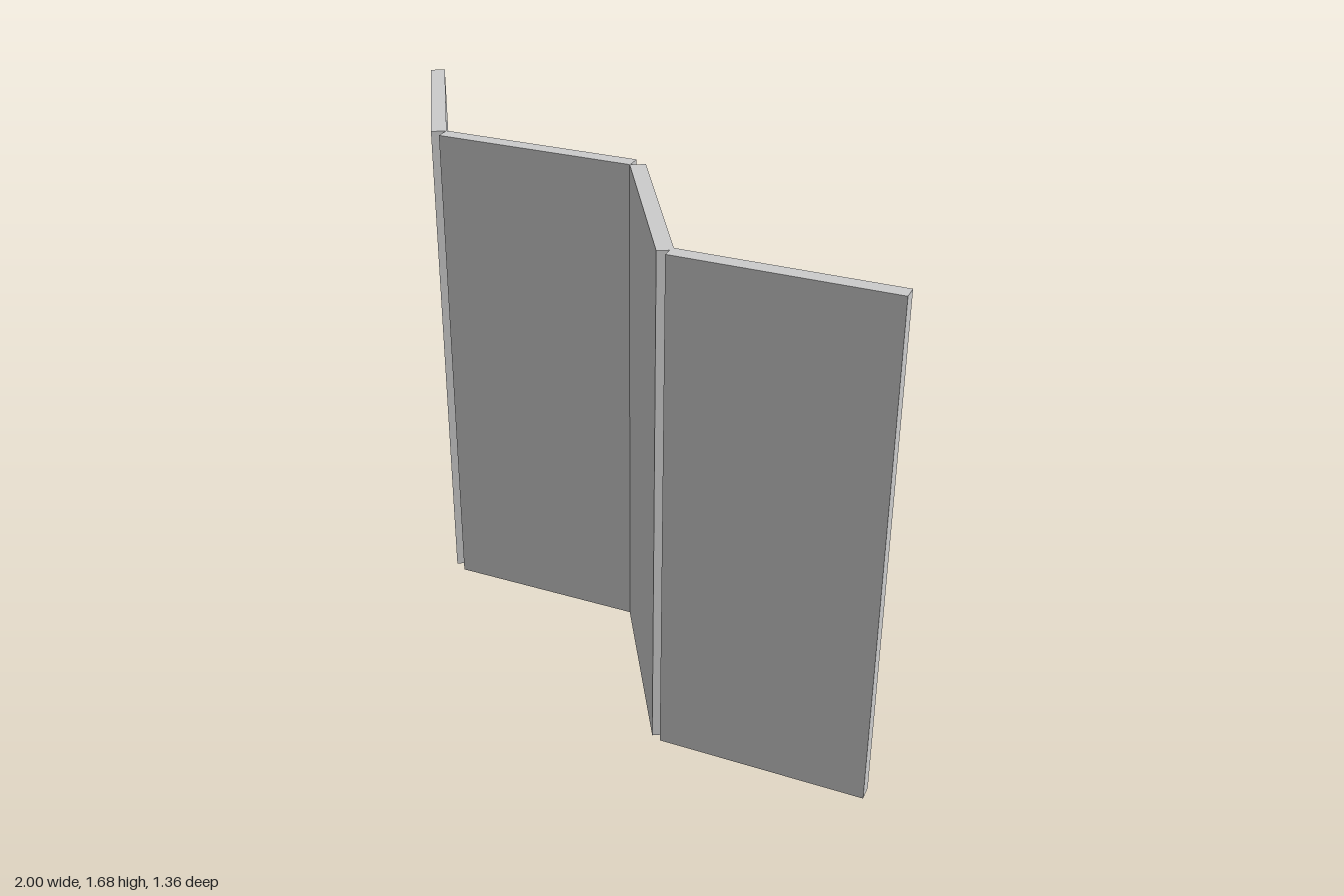
import * as THREE from 'three';

const WIDTH = 0.67, HEIGHT = 1.68, THICKNESS = 0.05;

// Panels of a folding screen: centre x, centre z, turn from the x axis in degrees
const PANELS = [
  ['outerRightPanel', -0.83, -0.368, 64],
  ['innerRightPanel', -0.329, -0.033, 3.8],
  ['innerLeftPanel', 0.172, 0.305, 64],
  ['outerLeftPanel', 0.663, 0.629, 3.8],
];

export function createModel() {
  const screen = new THREE.Group();
  screen.name = 'foldingScreen';
  const material = new THREE.MeshStandardMaterial({ color: 0xcccccc });
  const geometry = new THREE.BoxGeometry(WIDTH, HEIGHT, THICKNESS);

  for (const [name, x, z, degrees] of PANELS) {
    const panel = new THREE.Mesh(geometry, material);
    panel.name = name;
    panel.position.set(x, HEIGHT / 2, z);
    panel.rotation.y = -THREE.MathUtils.degToRad(degrees);
    screen.add(panel);
  }
  return screen;
}
